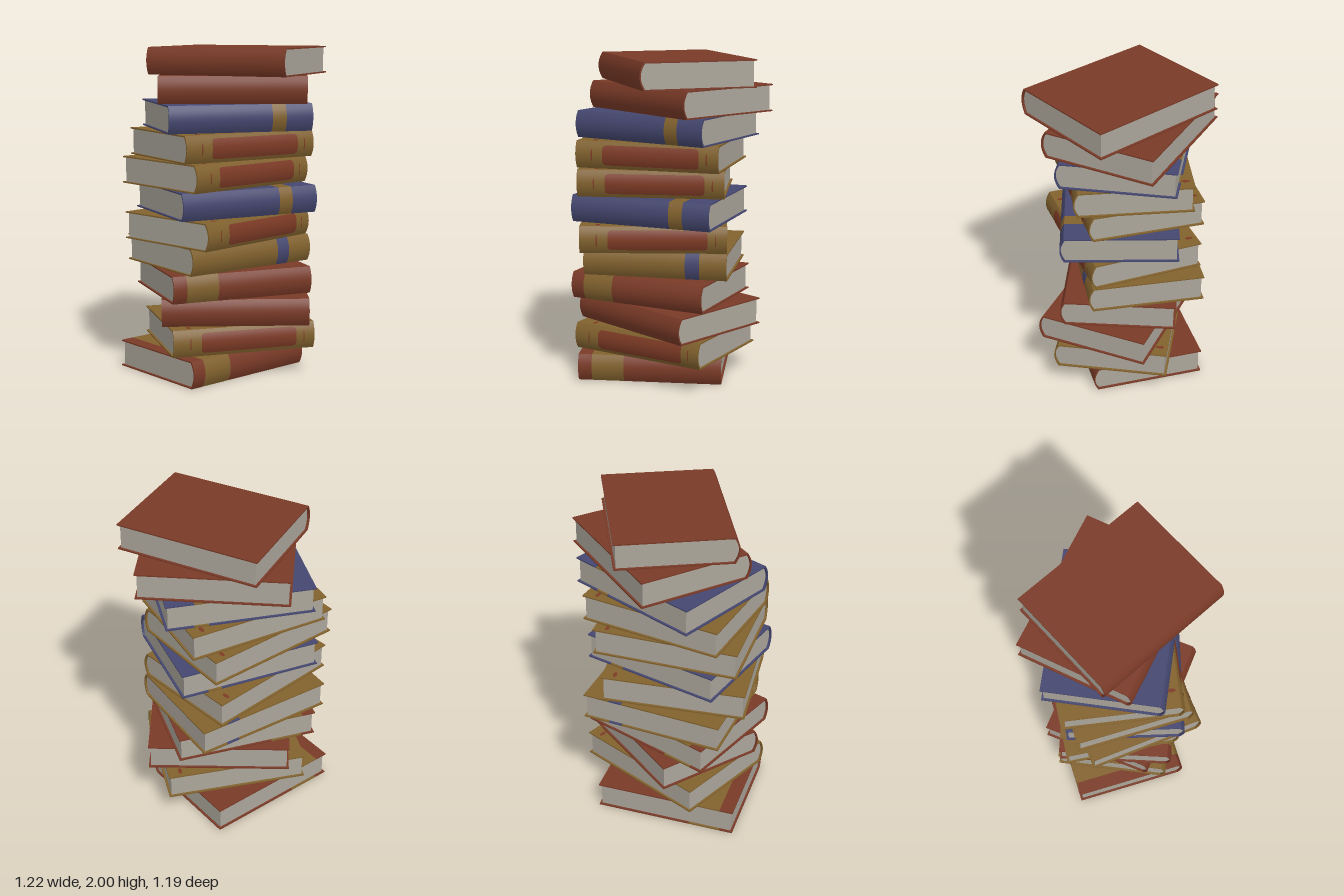
import * as THREE from 'three';
import { toCreasedNormals } from 'three/addons/utils/BufferGeometryUtils.js';

const paint = (name, color, side = THREE.FrontSide) => {
  const m = new THREE.MeshStandardMaterial({ color, side });
  m.name = name;
  return m;
};

// Book size: spine length, depth, height, spine bulge, cover thickness, page inset
const L = 0.89, D = 0.717, H = 0.1655, STEP = 2 / 12, BULGE = 0.026, T = 0.008, INSET = 0.014;

// Spine surface depth at height y
const spineZ = (y) => D / 2 - BULGE * (2 * y / H - 1) ** 2;

// Extrude a (z, y) profile along x from x0 to x1
function extrudeX(shape, x0, x1) {
  const g = new THREE.ExtrudeGeometry(shape, { depth: x1 - x0, bevelEnabled: false, curveSegments: 10 });
  g.rotateY(-Math.PI / 2);
  g.translate(x1, 0, 0);
  return toCreasedNormals(g, 0.6);
}

// C-shaped cover profile with a rounded spine
function coverShape() {
  const zs = D / 2 - BULGE, s = new THREE.Shape();
  s.moveTo(-D / 2, 0);
  s.lineTo(zs, 0);
  s.quadraticCurveTo(zs + 2 * BULGE, H / 2, zs, H);
  s.lineTo(-D / 2, H);
  s.lineTo(-D / 2, H - T);
  s.lineTo(zs - T, H - T);
  s.quadraticCurveTo(zs - T + 2 * BULGE, H / 2, zs - T, T);
  s.lineTo(-D / 2, T);
  return s;
}

// Page block that follows the inside of the spine
function pageShape() {
  const zs = D / 2 - BULGE - T, s = new THREE.Shape();
  s.moveTo(-D / 2 + INSET, T);
  s.lineTo(zs, T);
  s.quadraticCurveTo(zs + 2 * BULGE, H / 2, zs, H - T);
  s.lineTo(-D / 2 + INSET, H - T);
  return s;
}

// Rounded patch bent over the spine, x measured from the spine's left end
function spinePatch(x0, x1, height, radius) {
  const g = new THREE.PlaneGeometry(2, 2, 1, 20), p = g.attributes.position;
  for (let i = 0; i < p.count; i++) {
    const v = p.getY(i) * height / 2;
    const over = Math.max(0, Math.abs(v) - (height / 2 - radius));
    const half = (x1 - x0) / 2 - radius + Math.sqrt(Math.max(0, radius ** 2 - over ** 2));
    const y = H / 2 + v;
    p.setXYZ(i, (x0 + x1) / 2 - L / 2 + p.getX(i) * half, y, spineZ(y) + 0.002);
  }
  g.computeVertexNormals();
  return g;
}

export function createModel() {
  const red = paint('redCloth', 0x7a3a27);
  const mustard = paint('mustardCloth', 0x82622e);
  const blue = paint('blueCloth', 0x454770);
  const paper = paint('paper', 0xaba69b);
  const labelRed = paint('labelRed', 0x7d3a25, THREE.DoubleSide);

  // Cover styles: cloth, wrapped band (colour, start, end), spine label
  const styles = {
    plain: { cloth: red },
    redBand: { cloth: red, band: [mustard, 0.085, 0.285] },
    blueBand: { cloth: blue, band: [mustard, 0.635, 0.722] },
    mustardBand: { cloth: mustard, band: [blue, 0.635, 0.722] },
    label: { cloth: mustard, label: true },
  };

  // Bottom to top: style, turn in degrees, centre x, centre z
  const stack = [
    ['redBand', -5, -0.122, -0.055],
    ['label', 19.5, -0.048, 0.016],
    ['plain', 34, -0.021, 0.032],
    ['redBand', 15, -0.077, -0.003],
    ['mustardBand', 0, -0.06, -0.066],
    ['label', -10, -0.114, 0],
    ['blueBand', 10, -0.074, 0.022],
    ['label', -5, -0.108, -0.035],
    ['label', 5, -0.07, -0.027],
    ['blueBand', 20, -0.037, -0.027],
    ['plain', 38, 0.035, -0.037],
    ['plain', 60, 0.015, 0.03],
  ];

  const cover = coverShape();
  const pagesGeo = extrudeX(pageShape(), -L / 2 + INSET, L / 2 - INSET);
  const labelGeo = spinePatch(0.172, 0.772, 0.122, 0.022);
  const markGeos = [[0.1, 0.108], [0.816, 0.824]].map(([a, b]) => spinePatch(a, b, 0.07, 0.004));
  const spotGeo = new THREE.CylinderGeometry(1, 1, 0.001, 16);
  spotGeo.scale(0.012, 1, 0.026);

  function makeBook({ cloth, band, label }) {
    const book = new THREE.Group();
    const add = (name, geo, mat) => {
      const m = new THREE.Mesh(geo, mat);
      m.name = name;
      book.add(m);
      return m;
    };
    const wrap = (name, a, b, mat) => add(name, extrudeX(cover, a - L / 2, b - L / 2), mat);

    // Cover, split where a coloured band wraps around it
    if (band) {
      const [mat, a, b] = band;
      wrap('coverLeft', 0, a, cloth);
      wrap('coverBand', a, b, mat);
      wrap('coverRight', b, L, cloth);
    } else {
      wrap('cover', 0, L, cloth);
    }
    add('pages', pagesGeo, paper);

    // Spine label with small ornaments
    if (label) {
      add('spineLabel', labelGeo, labelRed);
      markGeos.forEach((g) => add('spineMark', g, labelRed));
      for (const [x, z] of [[-0.336, 0.287], [0.366, -0.308]]) {
        add('coverOrnament', spotGeo, labelRed).position.set(x, H + 0.0003, z);
      }
    }
    return book;
  }

  const model = new THREE.Group();
  model.name = 'bookStack';
  stack.forEach(([style, turn, x, z], i) => {
    const book = makeBook(styles[style]);
    book.name = `book${i + 1}`;
    book.position.set(x, i * STEP + (i === 11 ? STEP - H : 0), z);
    book.rotation.y = -THREE.MathUtils.degToRad(turn);
    model.add(book);
  });
  return model;
}
